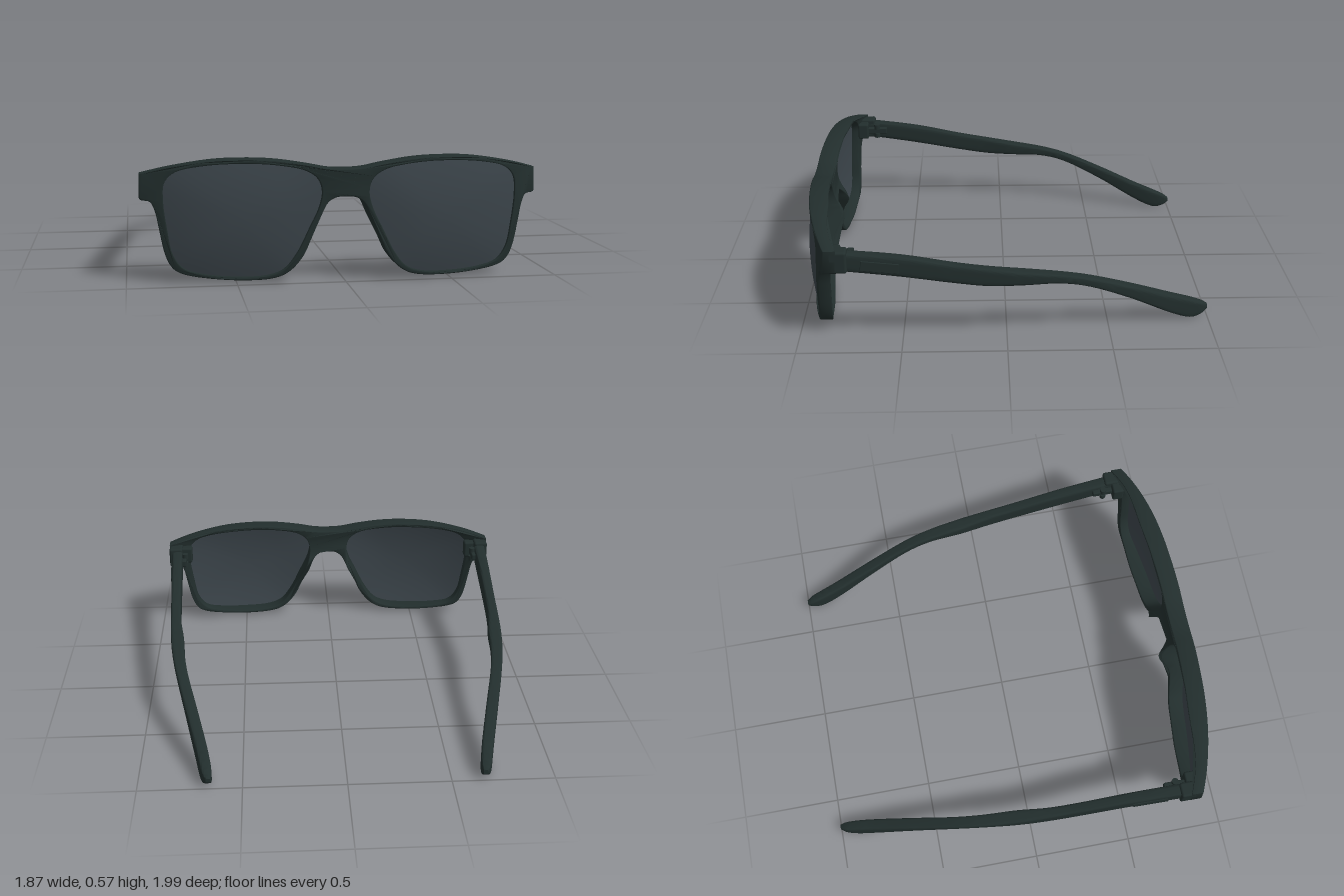
import * as THREE from 'three';
import { toCreasedNormals } from 'three/addons/utils/BufferGeometryUtils.js';
import { RoundedBoxGeometry } from 'three/addons/geometries/RoundedBoxGeometry.js';

const frameMat = new THREE.MeshStandardMaterial({ color: 0x222e2d });
frameMat.name = 'dark green-black frame';
const lensMat = new THREE.MeshStandardMaterial({ color: 0x3b444a, side: THREE.DoubleSide });
lensMat.name = 'smoke grey lens';

const smooth = THREE.MathUtils.smoothstep;

// Wrapped face of the glasses: z of the front surface at (x, y), flat at the bridge
function faceZ(x, y) {
  const k = smooth(Math.abs(x), 0.05, 0.35);
  return 1.0 - 0.17 * Math.abs(x) ** 3 - (1 - k) * 0.01 - k * 0.25 * (y - 0.3) ** 2;
}

// Frame depth: thinner at the sides, swelling backward into the nose pads
function frameDepth(x, y) {
  const ax = Math.abs(x);
  const pad = Math.exp(-(((ax - 0.11) / 0.055) ** 2) - ((y - 0.3) / 0.1) ** 2);
  return 0.095 - 0.035 * smooth(ax, 0.5, 0.85) + 0.06 * pad;
}

// Joins equal-length closed rings of Vector3 into a surface
function loft(rings) {
  const n = rings[0].length, pos = [], idx = [];
  rings.forEach(r => r.forEach(p => pos.push(p.x, p.y, p.z)));
  for (let i = 0; i < rings.length - 1; i++) {
    for (let j = 0; j < n; j++) {
      const a = i * n + j, b = i * n + (j + 1) % n, c = a + n, d = b + n;
      idx.push(a, c, b, b, c, d);
    }
  }
  const g = new THREE.BufferGeometry();
  g.setAttribute('position', new THREE.Float32BufferAttribute(pos, 3));
  g.setIndex(idx);
  g.computeVertexNormals();
  return g;
}

// Mirrored copy across x = 0 with the winding kept outward
function mirrored(geo) {
  const g = geo.index ? geo.toNonIndexed() : geo.clone();
  g.scale(-1, 1, 1);
  for (const name of ['position', 'normal']) {
    const a = g.attributes[name].array;
    for (let t = 0; t < a.length; t += 9) {
      for (let k = 0; k < 3; k++) [a[t + 3 + k], a[t + 6 + k]] = [a[t + 6 + k], a[t + 3 + k]];
    }
  }
  return g;
}

const spline = (pts, n) => new THREE.SplineCurve(pts.map(p => new THREE.Vector2(...p))).getPoints(n);

// Lens opening, counter-clockwise, for the +x side
function lensOutline() {
  const pts = [[0.11, 0.42], [0.127, 0.475], [0.18, 0.515], [0.3, 0.541], [0.46, 0.551], [0.65, 0.54],
    [0.775, 0.51], [0.82, 0.465], [0.828, 0.39], [0.81, 0.24], [0.787, 0.13], [0.74, 0.068],
    [0.65, 0.042], [0.5, 0.03], [0.36, 0.036], [0.285, 0.065], [0.225, 0.14], [0.17, 0.25], [0.125, 0.345]];
  const curve = new THREE.CatmullRomCurve3(pts.map(p => new THREE.Vector3(p[0], p[1], 0)), true);
  return curve.getPoints(96).slice(0, -1).reverse();
}

function frontFrameGeometry() {
  const top = spline([[0, 0.522], [0.08, 0.526], [0.18, 0.545], [0.32, 0.565], [0.46, 0.571],
    [0.62, 0.564], [0.8, 0.535], [0.935, 0.5]], 36);
  const side = spline([[0.936, 0.39], [0.925, 0.38], [0.885, 0.372], [0.862, 0.32], [0.848, 0.25], [0.825, 0.14],
    [0.795, 0.075], [0.75, 0.044], [0.66, 0.026], [0.5, 0.014], [0.35, 0.019], [0.265, 0.05],
    [0.2, 0.12], [0.16, 0.205], [0.12, 0.295], [0.085, 0.365], [0.045, 0.392], [0, 0.395]], 80);
  const half = [...top, ...side];
  const other = half.slice(1, -1).reverse().map(p => new THREE.Vector2(-p.x, p.y));
  const shape = new THREE.Shape([...half, ...other]);
  const hole = lensOutline().map(p => new THREE.Vector2(p.x, p.y));
  const mirroredHole = hole.map(p => new THREE.Vector2(-p.x, p.y)).reverse();
  shape.holes.push(new THREE.Path(hole), new THREE.Path(mirroredHole));
  const b = 0.005, depth = 0.095;
  const g = new THREE.ExtrudeGeometry(shape, {
    depth: depth - 2 * b, steps: 2, bevelEnabled: true, bevelThickness: b, bevelSize: b, bevelOffset: -b, bevelSegments: 3,
  });
  g.translate(0, 0, b - depth);
  // wrap the flat plate around the face and vary its depth
  const p = g.attributes.position;
  for (let i = 0; i < p.count; i++) {
    const x = p.getX(i), y = p.getY(i);
    p.setZ(i, p.getZ(i) * frameDepth(x, y) / depth + faceZ(x, y));
  }
  return toCreasedNormals(g, 0.6);
}

// Gently domed lens made of growing rings
function lensGeometry() {
  const outline = lensOutline(), c = new THREE.Vector2(0.47, 0.3), rings = [];
  for (let i = 0; i <= 12; i++) {
    const t = i / 12;
    rings.push(outline.map(p => {
      const x = c.x + (p.x - c.x) * t * 1.003, y = c.y + (p.y - c.y) * t * 1.003;
      return new THREE.Vector3(x, y, faceZ(x, y) - 0.018 + 0.014 * (1 - t * t));
    }));
  }
  return loft(rings);
}

// Temple arm: rounded-box sections running back to the ear tip
function templeGeometry() {
  // z, inner x, outer x, bottom y, top y
  const keys = [[0.78, 0.86, 0.922, 0.388, 0.48], [0.5, 0.85, 0.908, 0.348, 0.448], [0.25, 0.842, 0.897, 0.306, 0.4],
    [0.08, 0.832, 0.889, 0.283, 0.372], [-0.08, 0.81, 0.879, 0.28, 0.347], [-0.25, 0.796, 0.858, 0.278, 0.322],
    [-0.4, 0.772, 0.83, 0.244, 0.288], [-0.6, 0.722, 0.782, 0.154, 0.218], [-0.8, 0.672, 0.732, 0.046, 0.14],
    [-0.91, 0.65, 0.706, 0.002, 0.1], [-0.97, 0.645, 0.69, 0.014, 0.076], [-1.0, 0.65, 0.672, 0.036, 0.058]];
  const curve = (a, b) => new THREE.CatmullRomCurve3(
    keys.map(k => new THREE.Vector3(k[a], k[b], k[0])), false, 'catmullrom', 0.5);
  const low = curve(1, 3), high = curve(2, 4), rings = [], steps = 66, n = 32;
  const soft = v => Math.sign(v) * Math.abs(v) ** 0.36;
  const section = (t, size) => {
    const p = low.getPoint(t), q = high.getPoint(t);
    return Array.from({ length: n }, (_, j) => {
      const a = ((j + 0.5) / n) * Math.PI * 2;
      return new THREE.Vector3(
        (p.x + q.x) / 2 + soft(Math.cos(a)) * size * (q.x - p.x) / 2,
        (p.y + q.y) / 2 + soft(Math.sin(a)) * size * (q.y - p.y) / 2, p.z);
    });
  };
  rings.push(section(0, 0));
  for (let i = 0; i <= steps; i++) rings.push(section(i / steps, 1));
  rings.push(section(1, 0));
  return toCreasedNormals(loft(rings), 0.7);
}

export function createModel() {
  const model = new THREE.Group();
  model.name = 'sunglasses';
  const add = (geo, mat, name) => {
    const m = new THREE.Mesh(geo, mat);
    m.name = name;
    model.add(m);
  };
  const addPair = (geo, mat, name) => {
    add(geo, mat, name + 'Left');
    add(mirrored(geo), mat, name + 'Right');
  };

  add(frontFrameGeometry(), frameMat, 'frontFrame');
  addPair(lensGeometry(), lensMat, 'lens');
  addPair(templeGeometry(), frameMat, 'temple');

  // corner blocks joining the frame to the temples
  addPair(new RoundedBoxGeometry(0.075, 0.11, 0.09, 3, 0.012).translate(0.898, 0.437, 0.79), frameMat, 'endPiece');
  addPair(new RoundedBoxGeometry(0.085, 0.09, 0.06, 2, 0.01).translate(0.849, 0.435, 0.812), frameMat, 'endPieceLedge');

  // hinge knuckles and leaf
  for (const [y, name] of [[0.405, 'lowerHingeKnuckle'], [0.455, 'upperHingeKnuckle']]) {
    addPair(new THREE.CylinderGeometry(0.017, 0.017, 0.028, 16).translate(0.843, y, 0.732), frameMat, name);
  }
  addPair(new RoundedBoxGeometry(0.035, 0.035, 0.12, 2, 0.006).translate(0.853, 0.43, 0.735), frameMat, 'hingeLeaf');

  // blank plaque on the outside of each temple
  addPair(new RoundedBoxGeometry(0.008, 0.05, 0.18, 2, 0.003).rotateX(-0.13).rotateY(0.05)
    .translate(0.9135, 0.405, 0.595), frameMat, 'templePlaque');
  return model;
}
